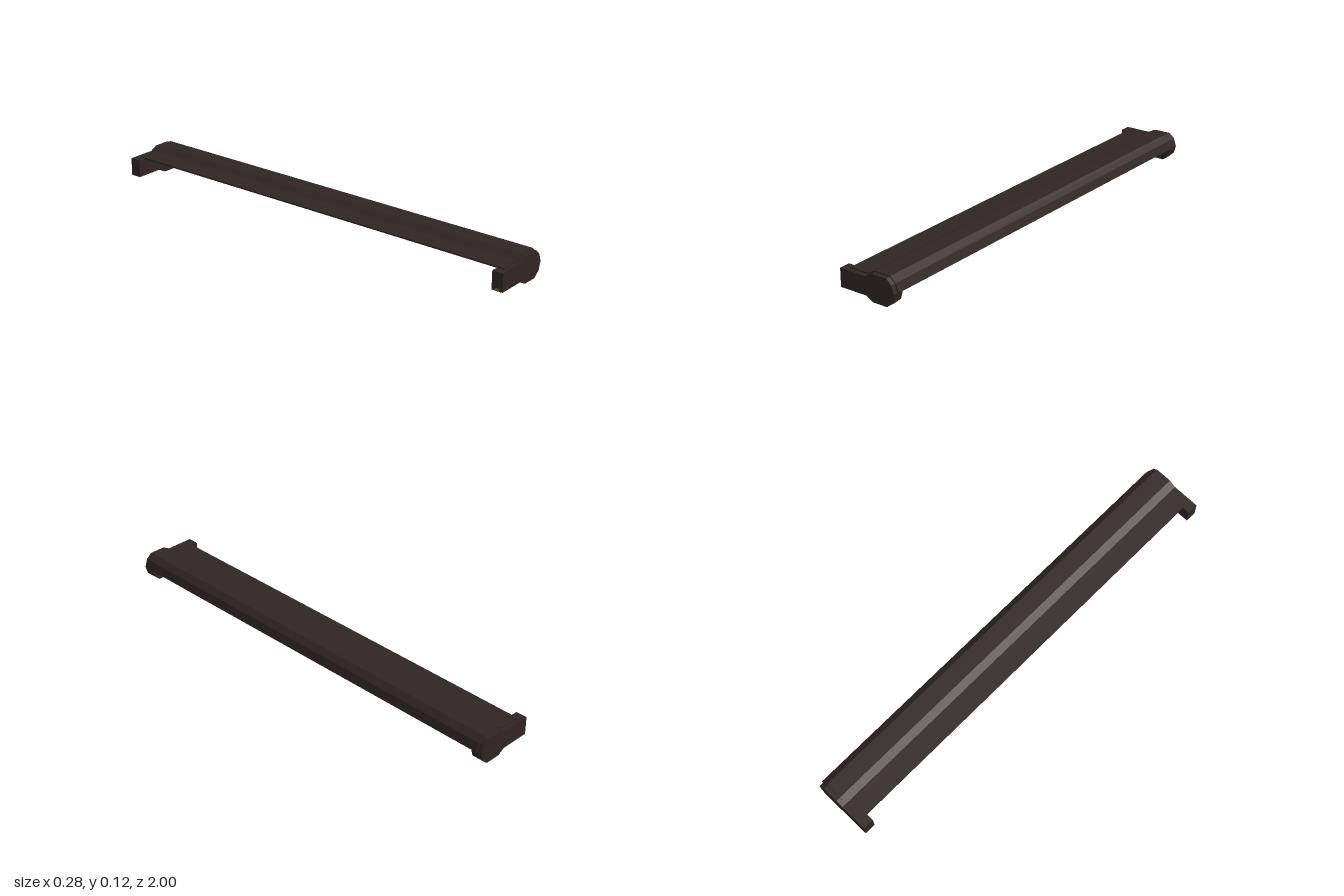
import * as THREE from 'three';

export function createModel() {
  const model = new THREE.Group();
  const darkBronze = new THREE.MeshStandardMaterial({ color: 0x302524 });
  darkBronze.name = 'darkBronze';
  const whiteGlass = new THREE.MeshStandardMaterial({ color: 0xe0e2e0 });
  whiteGlass.name = 'whiteGlass';
  const brass = new THREE.MeshStandardMaterial({ color: 0x8a5a18 });
  brass.name = 'brass';

  const add = (name, geometry, material) => {
    const mesh = new THREE.Mesh(geometry, material);
    mesh.name = name;
    model.add(mesh);
    return mesh;
  };
  // Extrudes an x-y outline along z, from z0 to z1
  const extrude = (points, z0, z1) => {
    const shape = new THREE.Shape(points.map(([x, y]) => new THREE.Vector2(x, y)));
    const geometry = new THREE.ExtrudeGeometry(shape, { depth: z1 - z0, bevelEnabled: false });
    return geometry.translate(0, 0, z0);
  };

  // End brackets: a wall arm running into a faceted lamp holder
  const bracket = [
    [-0.138, 0.019], [-0.008, 0.019], [0.022, 0], [0.092, 0], [0.119, 0.024],
    [0.13, 0.06], [0.117, 0.096], [0.094, 0.117], [0.02, 0.117], [-0.012, 0.099], [-0.138, 0.099],
  ];
  add('frontBracket', extrude(bracket, 0.95, 1), darkBronze);
  add('backBracket', extrude(bracket, -1, -0.95), darkBronze);

  // Hood: a thin bent sheet lying over both brackets
  const hood = [
    [-0.104, 0.104], [-0.104, 0.097], [-0.011, 0.097], [0.021, 0.115], [0.093, 0.115],
    [0.116, 0.095], [0.128, 0.06], [0.136, 0.063], [0.122, 0.099], [0.096, 0.122],
    [0.019, 0.122], [-0.013, 0.104],
  ];
  add('hood', extrude(hood, -0.98, 0.98), darkBronze);

  // Light tube with tapered ends
  const profile = [[0.022, -0.95], [0.026, -0.945], [0.033, -0.93], [0.033, 0.93], [0.026, 0.945], [0.022, 0.95]];
  const tube = new THREE.LatheGeometry(profile.map(([r, y]) => new THREE.Vector2(r, y)), 32);
  add('lightTube', tube.rotateX(Math.PI / 2).translate(0.057, 0.06, 0), whiteGlass);

  // Small contact on the wall end of the front arm
  const contact = add('wallContact', new THREE.BoxGeometry(0.002, 0.01, 0.02), brass);
  contact.position.set(-0.138, 0.026, 0.975);

  return model;
}
